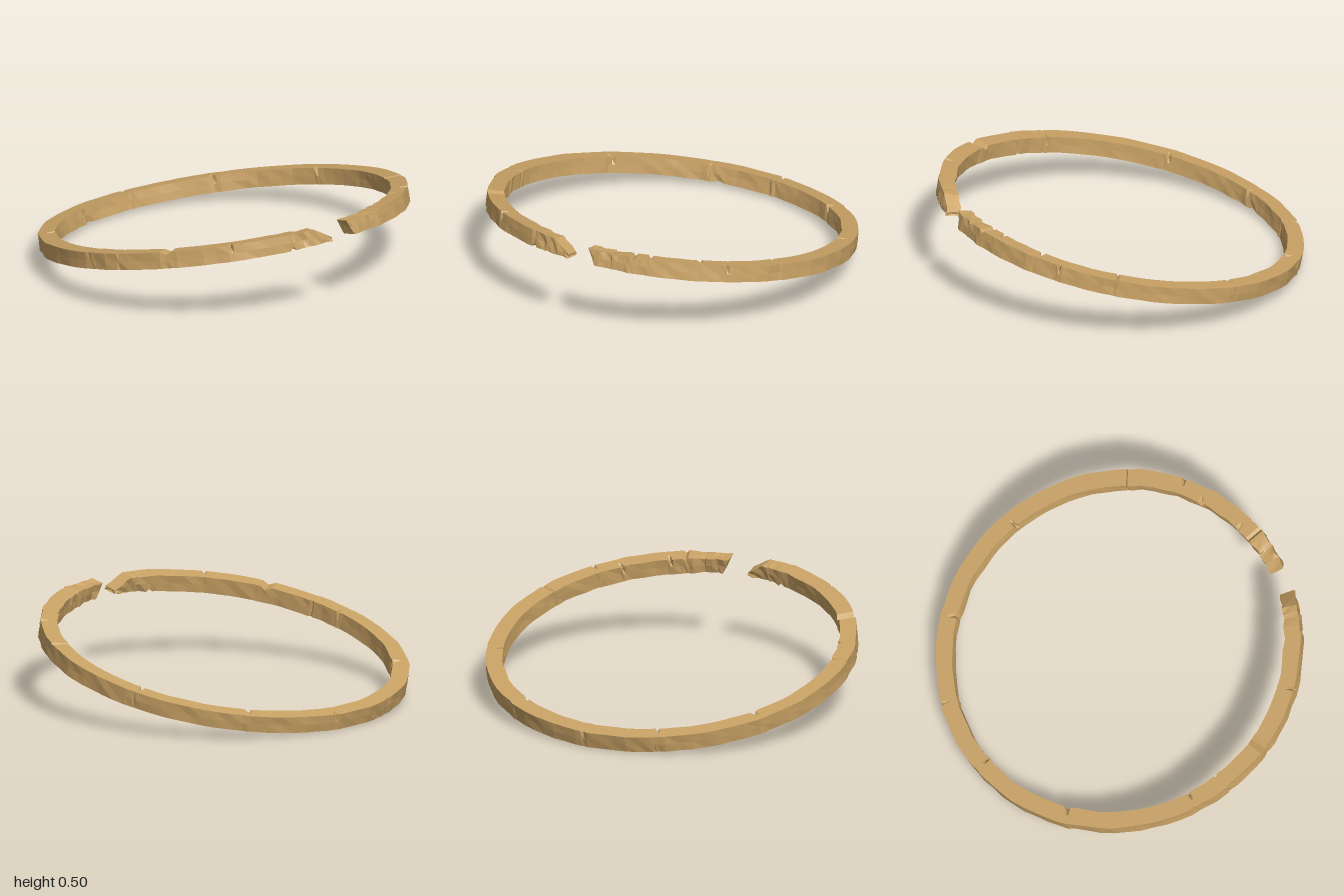
import * as THREE from 'three';

// Small seeded generator for the hewn irregularities, range -1..1
function seeded(seed) {
  let s = seed;
  return () => {
    s = (s * 16807) % 2147483647;
    return (s / 2147483647) * 2 - 1;
  };
}

// Cross-section in units of half width (u, outward) and half height (v, up)
const SECTION = [[-1, -1], [0, -1], [1, -1], [1, 0], [1, 1], [0, 1], [-1, 1], [-1, 0]];
const RADIUS = 0.949, HALF_W = 0.045, HALF_H = 0.045;
const START = 0.055, END = Math.PI * 2 - 0.06;

// Cracks and chips: x, z, side (u), side (v), half width in radians, depth
const CRACKS = [
  [-0.77, -0.61, -1, 1, 0.02, 0.35], [-0.28, -0.87, -1, 1, 0.018, 0.4],
  [0.53, -0.74, -1, 1, 0.02, 0.35], [0.9, -0.28, -1, 1, 0.014, 0.5],
  [0.88, 0.38, 0, 1, 0.01, 0.2], [0.73, 0.66, 1, 1, 0.012, 0.4],
  [0.58, 0.7, -1, 1, 0.016, 0.45], [0.37, 0.86, -1, 1, 0.016, 0.4],
  [0.29, 0.89, 0, 1, 0.016, 0.35], [-0.93, 0.07, -1, 1, 0.01, 0.4],
  [-0.88, 0.24, -1, 0, 0.014, 0.25], [-0.78, 0.5, 0, 1, 0.035, 0.4],
  [-0.59, 0.79, 1, 1, 0.012, 0.4], [-0.28, 0.9, 0, -1, 0.02, 0.4],
  [-0.25, -0.95, -1, -1, 0.05, 0.18], [0.1, -0.95, 1, 1, 0.012, 0.3],
];

// Angles at which the band is cut into sections, each with an optional crack
function makeStations() {
  const cracks = CRACKS.map(([x, z, su, sv, w, d]) => {
    const a = (Math.atan2(x, z) + Math.PI * 2) % (Math.PI * 2);
    return { a, su, sv, w, d };
  });
  const stations = [];
  for (const c of cracks) {
    stations.push({ a: c.a - c.w }, { a: c.a, crack: c }, { a: c.a + c.w });
  }
  const count = 84;
  for (let i = 0; i <= count; i++) {
    const a = START + ((END - START) * i) / count;
    if (i === 0 || i === count || cracks.every(c => Math.abs(a - c.a) > c.w + 0.012)) stations.push({ a });
  }
  // Extra cuts in the splintered ends
  for (const d of [0.035, 0.105, 0.14, 0.175]) {
    stations.push({ a: START + d }, { a: END - d });
  }
  return stations.sort((p, q) => p.a - q.a);
}

function bandGeometry() {
  const rand = seeded(4711);
  const stations = makeStations();
  const n = SECTION.length;
  const pos = [], index = [];

  const addPoint = (a, u, v) => {
    const r = RADIUS + u * HALF_W;
    pos.push(r * Math.sin(a), v * HALF_H, r * Math.cos(a));
  };

  for (const { a, crack } of stations) {
    const fromStart = a - START, fromEnd = END - a;
    const rough = Math.min(fromStart, fromEnd) < 0.2;
    const sway = rand() * 0.08;
    for (const [u0, v0] of SECTION) {
      let u = u0, v = v0, angle = a;
      // Hand-hewn walls, flat top and bottom
      u += sway + rand() * 0.06;
      if (crack) {
        if (!crack.su || crack.su === u0) {
          if (!crack.sv || crack.sv === v0) {
            u -= crack.su * crack.d;
            v -= crack.sv * crack.d;
          }
        }
      }
      // Splintered ends: chipped surfaces
      if (rough) {
        u -= u0 * Math.abs(rand()) * 0.25;
        v -= v0 * Math.abs(rand()) * (v0 > 0 ? 0.25 : 0.1);
      }
      // One end undercut, the other sloping down to a point
      if (fromStart < 0.05) angle += (1 - v0) * 0.022 * (1 - fromStart / 0.05);
      if (fromEnd < 0.11 && v0 > -1) {
        const top = 1 - 1.5 * (1 - fromEnd / 0.11);
        v = v0 > 0 ? Math.min(v, top) : Math.min(v, (top - 1) / 2);
      }
      addPoint(angle, u, v);
    }
  }

  // Skin between neighbouring sections
  for (let i = 0; i < stations.length - 1; i++) {
    for (let j = 0; j < n; j++) {
      const k = (j + 1) % n;
      const p = i * n + j, q = i * n + k;
      index.push(p, p + n, q, q, p + n, q + n);
    }
  }

  // Broken end faces
  const last = (stations.length - 1) * n;
  const startCentre = pos.length / 3;
  addPoint(START + 0.03, 0, 0);
  const endCentre = startCentre + 1;
  addPoint(END - 0.008, 0, -0.7);
  for (let j = 0; j < n; j++) {
    const k = (j + 1) % n;
    index.push(startCentre, j, k, endCentre, last + k, last + j);
  }

  const geometry = new THREE.BufferGeometry();
  geometry.setAttribute('position', new THREE.Float32BufferAttribute(pos, 3));
  geometry.setIndex(index);
  const faceted = geometry.toNonIndexed();
  faceted.computeVertexNormals();
  return faceted;
}

export function createModel() {
  const model = new THREE.Group();
  model.name = 'brokenRing';

  const tan = new THREE.MeshStandardMaterial({ color: 0xc9a265, flatShading: true });
  tan.name = 'tan stone';

  // Open ring, raised at its broken front
  const band = new THREE.Mesh(bandGeometry(), tan);
  band.name = 'ringBand';
  band.rotation.x = -0.212;
  band.position.y = 0.255;
  model.add(band);

  return model;
}
